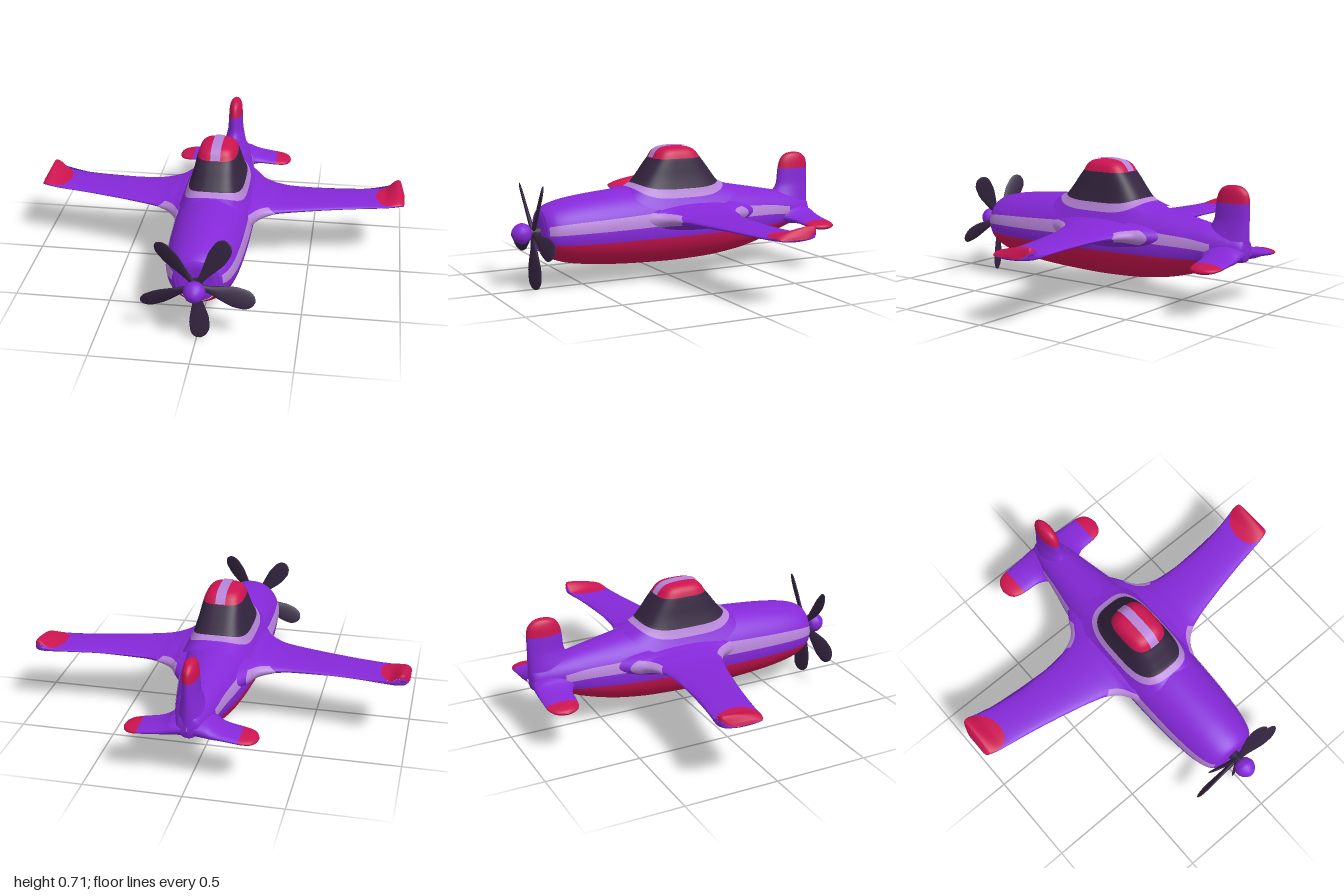
import * as THREE from 'three';

const paint = (color) => new THREE.MeshStandardMaterial({ color });
const { sin, cos, asin, abs, sign, PI, min, max } = Math;
const smooth = THREE.MathUtils.smoothstep;
const lerp = THREE.MathUtils.lerp;

// Smooth, non-overshooting interpolation through rows of numbers; i is a row index
function spline(rows) {
  const n = rows.length - 1;
  const slope = (k, c) => {
    if (k === 0) return rows[1][c] - rows[0][c];
    if (k === n) return rows[n][c] - rows[n - 1][c];
    const a = rows[k][c] - rows[k - 1][c], b = rows[k + 1][c] - rows[k][c];
    return a * b > 0 ? 2 * a * b / (a + b) : 0;
  };
  return (i) => {
    const k = max(0, min(n - 1, Math.floor(i))), f = i - k, g = 1 - f;
    return rows[k].map((p, c) => p * (1 + 2 * f) * g * g + slope(k, c) * f * g * g
      + rows[k + 1][c] * f * f * (3 - 2 * f) - slope(k + 1, c) * f * f * g);
  };
}

// Grid surface from fn(u, v) -> [x, y, z], with normals taken from the surface itself
function surface(fn, nu, nv) {
  const pos = [], nor = [], idx = [];
  const at = (u, v) => new THREE.Vector3(...fn(u, v));
  const e = 0.002;
  for (let i = 0; i <= nu; i++) for (let j = 0; j <= nv; j++) {
    const u = i / nu, v = j / nv;
    const uc = min(1 - 2 * e, max(2 * e, u)), vc = min(1 - 2 * e, max(2 * e, v));
    const du = at(uc + e, vc).sub(at(uc - e, vc)), dv = at(uc, vc + e).sub(at(uc, vc - e));
    pos.push(...fn(u, v));
    nor.push(...du.cross(dv).normalize().toArray());
    if (i < nu && j < nv) {
      const a = i * (nv + 1) + j, b = a + nv + 1;
      idx.push(a, b, a + 1, b, b + 1, a + 1);
    }
  }
  const g = new THREE.BufferGeometry();
  g.setAttribute('position', new THREE.Float32BufferAttribute(pos, 3));
  g.setAttribute('normal', new THREE.Float32BufferAttribute(nor, 3));
  g.setIndex(idx);
  return g;
}

const mirrored = (fn) => (u, v) => { const [x, y, z] = fn(1 - u, v); return [-x, y, z]; };
// Stand a sideways panel upright
const upright = (fn) => (u, v) => { const [x, y, z] = fn(u, v); return [-y, x, z]; };

// Lifting surface; rows are [span, leading z, trailing z, centre y, half thickness]
function foil(rows, raise = () => 0) {
  const at = spline(rows);
  return (i, t, e = 0) => {
    const [x, lead, trail, cy, th] = at(i);
    return [x, cy + (th + e) * sin(t) + raise(x, t), (lead + trail) / 2 + ((lead - trail) / 2 + e) * cos(t)];
  };
}
// Part of a foil between row indices i0(t)..i1(t)
const span = (f, i0, i1, t0 = 0, t1 = 2 * PI, e = 0) => (u, v) => {
  const t = lerp(t0, t1, v);
  const a = typeof i0 === 'function' ? i0(t) : i0, b = typeof i1 === 'function' ? i1(t) : i1;
  return f(lerp(a, b, u), t, e);
};

export function createModel() {
  const model = new THREE.Group();
  model.name = 'propellerPlane';
  const purple = paint(0x8528d8), red = paint(0xcc1450), light = paint(0xb684d8), dark = paint(0x33243f);
  const add = (name, geo, mat, parent = model) => {
    const m = new THREE.Mesh(geo, mat);
    m.name = name;
    parent.add(m);
    return m;
  };
  const addPair = (name, fn, nu, nv, mat) => {
    add('left' + name, surface(fn, nu, nv), mat);
    add('right' + name, surface(mirrored(fn), nu, nv), mat);
  };

  // Fuselage: [z, top, bottom, half width]
  const hullRows = [
    [0.735, 0.305, 0.295, 0.002], [0.742, 0.38, 0.22, 0.08], [0.735, 0.41, 0.19, 0.108], [0.70, 0.435, 0.165, 0.145],
    [0.60, 0.463, 0.128, 0.176], [0.40, 0.487, 0.10, 0.195], [0.20, 0.5, 0.088, 0.202], [0, 0.505, 0.083, 0.203],
    [-0.20, 0.505, 0.088, 0.19], [-0.40, 0.472, 0.11, 0.165], [-0.60, 0.435, 0.16, 0.126], [-0.70, 0.415, 0.20, 0.105],
    [-0.80, 0.39, 0.232, 0.08], [-0.875, 0.36, 0.25, 0.05], [-0.887, 0.31, 0.29, 0.002],
  ];
  const hullAt = spline(hullRows), last = hullRows.length - 1;
  const angleAt = (i, y) => {
    const [, top, bot] = hullAt(i);
    return asin(max(-1, min(1, (2 * y - top - bot) / (top - bot))));
  };
  const hull = (i, a, e = 0) => {
    const [z, top, bot, hw] = hullAt(i);
    return [(hw + e) * cos(a), (top + bot) / 2 + ((top - bot) / 2 + e) * sin(a), z];
  };
  const bellyEdge = (i) => (i < 2 ? -PI / 2 : angleAt(i, 0.245));
  add('fuselage', surface((u, v) => {
    const a = bellyEdge(u * last);
    return hull(u * last, lerp(a, PI - a, v));
  }, 84, 56), purple);
  add('belly', surface((u, v) => {
    const i = lerp(2, 12, u), a = bellyEdge(i);
    return hull(i, lerp(PI - a, 2 * PI + a, v));
  }, 60, 32), red);

  // Side stripes ahead of and behind the wing
  const stripe = (i0, i1, low0, low1, high0, high1) => (u, v) => {
    const i = lerp(i0, i1, u);
    return hull(i, lerp(angleAt(i, lerp(low0, low1, u)), angleAt(i, lerp(high0, high1, u)), v), 0.003);
  };
  addPair('FrontStripe', stripe(2.4, 6.2, 0.295, 0.31, 0.34, 0.378), 30, 4, light);
  addPair('RearStripe', stripe(8.6, 11.2, 0.315, 0.295, 0.375, 0.335), 20, 4, light);

  // Wings with flared roots and a raised lip at the tips
  const wing = foil([
    [0.12, 0.34, -0.5, 0.335, 0.09], [0.19, 0.22, -0.39, 0.34, 0.07], [0.22, 0.15, -0.335, 0.343, 0.058],
    [0.26, 0.10, -0.30, 0.345, 0.048], [0.32, 0.065, -0.275, 0.345, 0.035], [0.4, 0.04, -0.258, 0.345, 0.029],
    [0.6, -0.01, -0.255, 0.346, 0.022], [0.8, -0.05, -0.278, 0.347, 0.018], [0.88, -0.06, -0.295, 0.349, 0.016],
    [0.94, -0.07, -0.308, 0.352, 0.016], [0.975, -0.08, -0.30, 0.354, 0.015], [0.993, -0.09, -0.26, 0.352, 0.012],
    [1, -0.11, -0.23, 0.35, 0],
  ], (x, t) => 0.048 * smooth(x, 0.89, 0.965) * (1 - smooth(x, 0.97, 1))
    * smooth(sin(t), -0.4, 0.4) * (0.55 - 0.45 * cos(t)));
  const tipEdge = (t) => 12 - 4.5 * Math.pow(max(0, sin(t)), 0.25);
  addPair('Wing', span(wing, 0, tipEdge), 64, 56, purple);
  addPair('WingTip', span(wing, tipEdge, 12, 0, PI), 28, 40, red);
  addPair('WingRootFrontTrim', span(wing, 0.9, (t) => 4 - abs(t), -0.6, 0.6, 0.003), 14, 10, light);
  addPair('WingRootRearTrim', span(wing, 0.9, (t) => 4 - abs(t - PI), PI - 0.55, PI + 0.55, 0.003), 14, 10, light);

  // Tailplane
  const tail = foil([
    [0.03, -0.60, -0.885, 0.29, 0.06], [0.09, -0.66, -0.888, 0.28, 0.045], [0.12, -0.69, -0.888, 0.272, 0.035],
    [0.17, -0.712, -0.888, 0.265, 0.024], [0.25, -0.72, -0.888, 0.255, 0.02], [0.30, -0.735, -0.875, 0.25, 0.018],
    [0.325, -0.765, -0.845, 0.247, 0.012], [0.335, -0.8, -0.81, 0.246, 0],
  ]);
  addPair('Tailplane', span(tail, 0, 4), 24, 32, purple);
  addPair('TailplaneTip', span(tail, 4, 7), 18, 32, red);

  // Fin
  const fin = foil([
    [0.32, -0.60, -0.887, 0, 0.075], [0.38, -0.64, -0.887, 0, 0.06], [0.42, -0.672, -0.887, 0, 0.05],
    [0.46, -0.692, -0.887, 0, 0.043], [0.54, -0.70, -0.887, 0, 0.039], [0.58, -0.71, -0.882, 0, 0.036],
    [0.61, -0.73, -0.862, 0, 0.029], [0.625, -0.76, -0.835, 0, 0.018], [0.63, -0.795, -0.8, 0, 0],
  ]);
  add('fin', surface(upright(span(fin, 0, 4)), 24, 32), purple);
  add('finTip', surface(upright(span(fin, 4, 8)), 20, 32), red);

  // Canopy: [half width, front z, back z, y at the sides, y at the ends]
  const ringAt = spline([
    [0.195, 0.28, -0.37, 0.385, 0.475], [0.165, 0.238, -0.302, 0.445, 0.50], [0.147, 0.203, -0.27, 0.49, 0.517],
    [0.128, 0.165, -0.235, 0.55, 0.56], [0.115, 0.13, -0.20, 0.605, 0.607], [0.105, 0.10, -0.17, 0.645, 0.645],
    [0.092, 0.08, -0.145, 0.677, 0.677], [0.07, 0.055, -0.115, 0.696, 0.696], [0.035, 0.015, -0.07, 0.704, 0.704],
    [0.001, -0.029, -0.03, 0.706, 0.706],
  ]);
  const squared = (c) => sign(c) * Math.pow(abs(c), 0.6);
  const canopy = (i0, i1) => (u, v) => {
    const [hw, zf, zb, ys, ye] = ringAt(lerp(i0, i1, u));
    const t = v * 2 * PI, c = squared(cos(t));
    return [-hw * squared(sin(t)), lerp(ys, ye, c ** 4), (zf + zb) / 2 + (zf - zb) / 2 * c];
  };
  add('canopyFairing', surface(canopy(0, 1), 8, 64), purple);
  add('canopyFrame', surface(canopy(1, 2), 8, 64), light);
  add('canopyGlass', surface(canopy(2, 5), 18, 64), dark);
  add('canopyRoof', surface(canopy(5, 9), 20, 64), red);
  add('roofStripe', surface((u, v) => {
    const k = 1 - 2 * u, [, zf, zb, , y] = ringAt(9 - 4 * abs(k));
    return [lerp(0.026, -0.026, v), y + 0.004, k > 0 ? zf + 0.003 : zb - 0.003];
  }, 40, 2), light);

  // Propeller: five pitched blades, shaft and spinner
  const propeller = new THREE.Group();
  propeller.name = 'propeller';
  propeller.position.set(0, 0.298, 0.77);
  model.add(propeller);
  const blade = foil([
    [0, 0.014, -0.014, 0, 0.012], [0.06, 0.018, -0.018, 0, 0.011], [0.13, 0.036, -0.036, 0, 0.009],
    [0.2, 0.05, -0.05, 0, 0.008], [0.25, 0.048, -0.048, 0, 0.007], [0.28, 0.034, -0.034, 0, 0.005],
    [0.293, 0.018, -0.018, 0, 0.003], [0.298, 0.001, -0.001, 0, 0],
  ]);
  const bladeGeo = surface(span(blade, 0, 7), 24, 20).rotateX(1.2);
  for (let k = 0; k < 5; k++) {
    add('blade' + (k + 1), bladeGeo, dark, propeller).rotation.z = -1.5 + k * 2 * PI / 5;
  }
  const shaft = add('shaft', new THREE.CylinderGeometry(0.028, 0.028, 0.09, 24), dark, propeller);
  shaft.rotation.x = PI / 2;
  shaft.position.z = -0.005;
  const outline = [[0, 0.02], [0.036, 0.02], [0.046, 0.032], [0.055, 0.055], [0.053, 0.07], [0.044, 0.09], [0.028, 0.106], [0.012, 0.114], [0, 0.116]];
  const spinner = add('spinner', new THREE.LatheGeometry(outline.map(([r, y]) => new THREE.Vector2(r, y)), 32), purple, propeller);
  spinner.rotation.x = PI / 2;
  return model;
}
